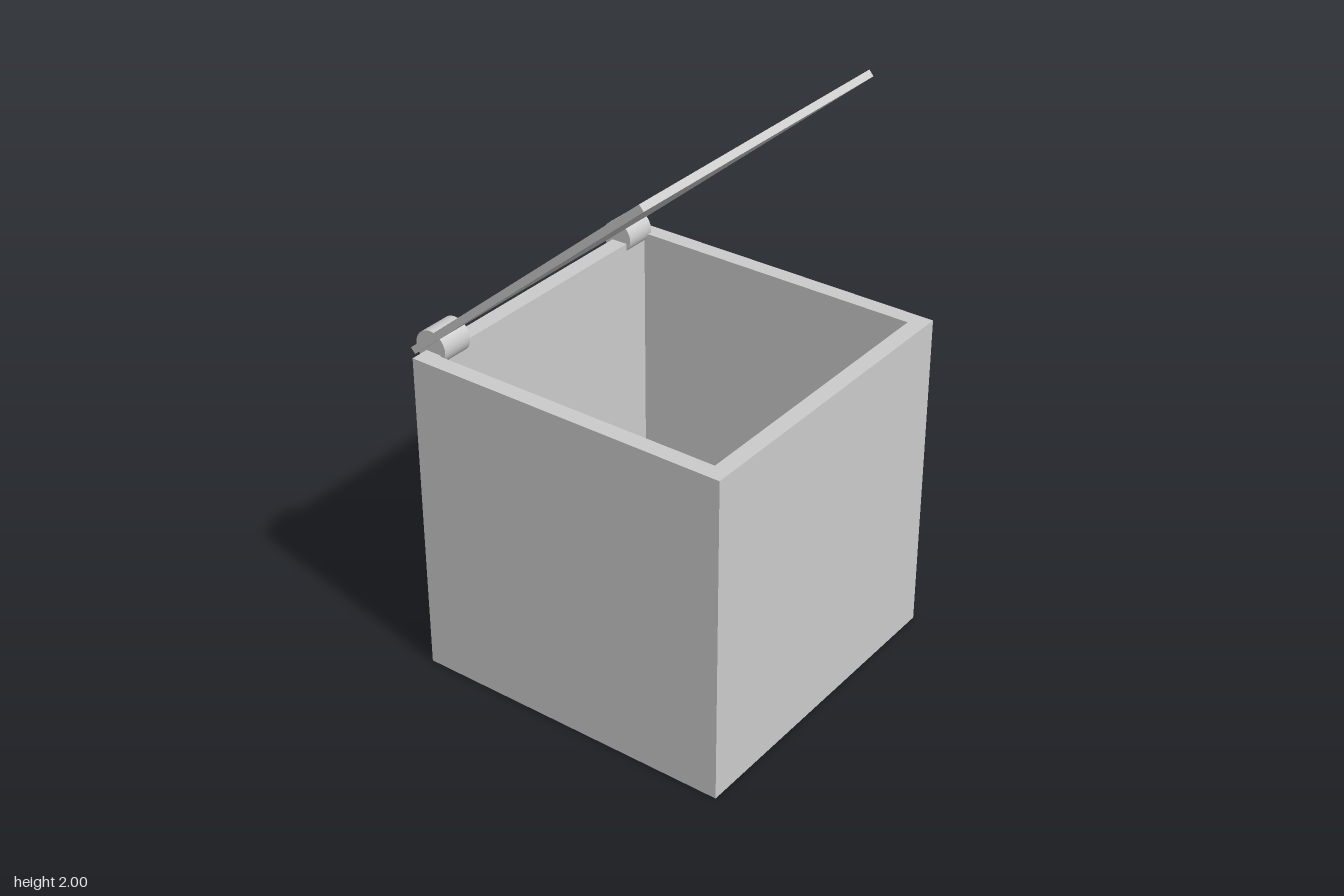
import * as THREE from 'three';

const material = new THREE.MeshStandardMaterial({ color: 0xcccccc });

export function createModel() {
  const model = new THREE.Group();
  model.name = 'openBox';

  function add(name, geometry, x, y, z, parent = model) {
    const mesh = new THREE.Mesh(geometry, material);
    mesh.name = name;
    mesh.position.set(x, y, z);
    parent.add(mesh);
    return mesh;
  }

  // Box body: a square tube of walls closed by a floor
  const size = 1.194, wall = 0.06, height = 1.197;
  const half = size / 2, inner = half - wall;
  const square = (Type, r) => new Type([
    new THREE.Vector2(-r, -r), new THREE.Vector2(r, -r),
    new THREE.Vector2(r, r), new THREE.Vector2(-r, r),
  ]);
  const outline = square(THREE.Shape, half);
  outline.holes.push(square(THREE.Path, inner));
  const walls = new THREE.ExtrudeGeometry(outline, { depth: height, bevelEnabled: false });
  walls.rotateX(-Math.PI / 2);

  const body = new THREE.Group();
  body.name = 'body';
  body.position.set(-0.004, 0, 0.021);
  model.add(body);
  add('walls', walls, 0, 0, 0, body);
  add('floor', new THREE.BoxGeometry(inner * 2, wall, inner * 2), 0, wall / 2, 0, body);

  // Lid: thin panel propped open about the back edge
  const lid = add('lid', new THREE.BoxGeometry(1.194, 0.025, 1.194), 0.002, 1.606, -0.121);
  lid.rotation.x = -THREE.MathUtils.degToRad(40.1);

  // Hinges: short barrels along the back edge
  for (const [name, x, radius] of [['rightHinge', -0.475, 0.061], ['leftHinge', 0.489, 0.058]]) {
    const barrel = new THREE.CylinderGeometry(radius, radius, 0.12, 32);
    barrel.rotateZ(Math.PI / 2);
    add(name, barrel, x, 1.211, -0.557);
  }

  return model;
}
